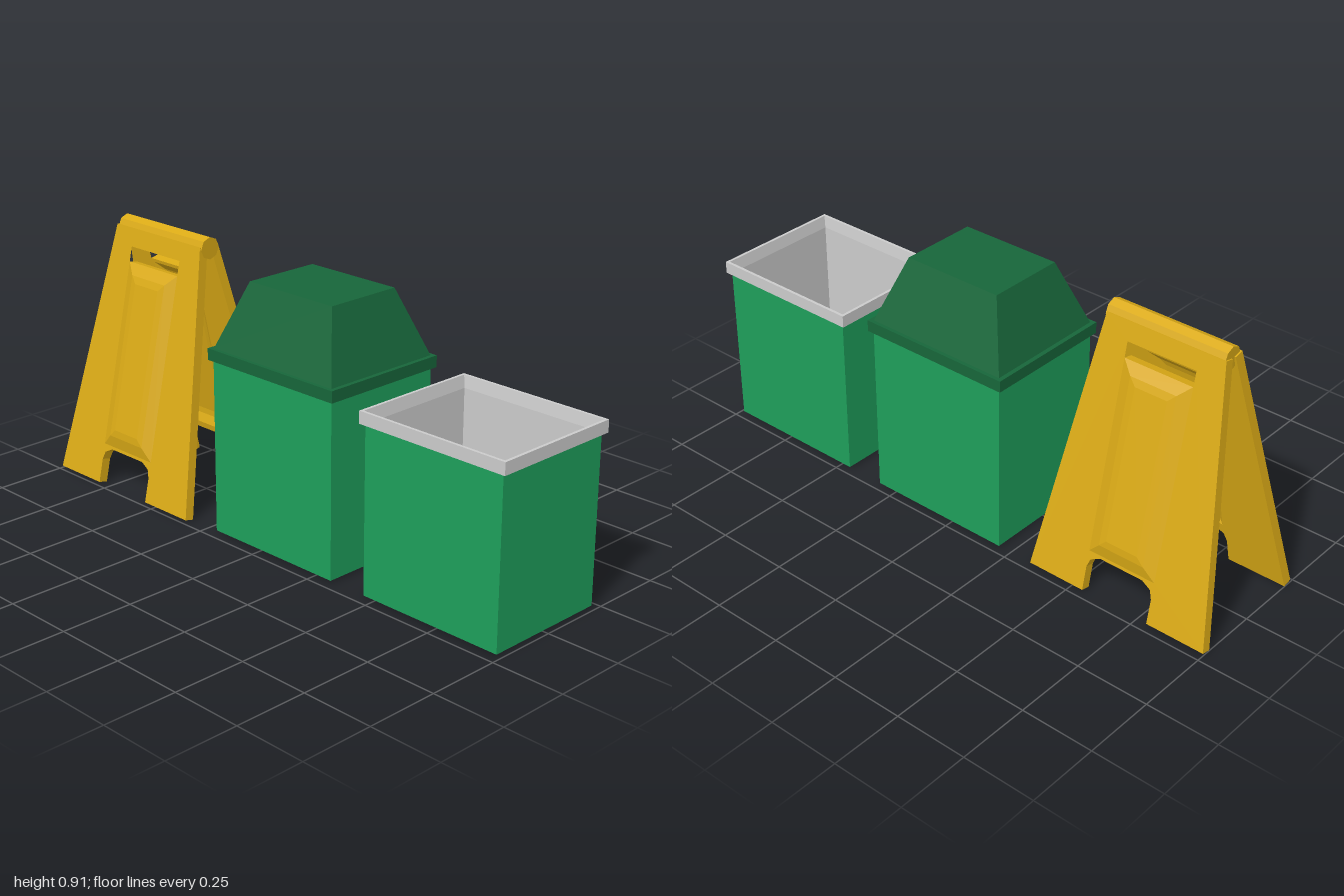
import * as THREE from 'three';

const material = (color) => new THREE.MeshStandardMaterial({ color, flatShading: true });

// Skin over rectangular rings [halfWidth, halfDepth, level], travelling along +z; ends optionally capped.
function loft(rings, capStart = true, capEnd = true) {
  const loops = rings.map(([w, d, z]) => [[w, -d, z], [w, d, z], [-w, d, z], [-w, -d, z]]);
  const pos = [];
  const quad = (a, b, c, d) => pos.push(...a, ...b, ...c, ...a, ...c, ...d);
  for (let k = 0; k + 1 < loops.length; k++) {
    for (let i = 0; i < 4; i++) {
      const j = (i + 1) % 4;
      quad(loops[k][i], loops[k][j], loops[k + 1][j], loops[k + 1][i]);
    }
  }
  if (capStart) quad(...[...loops[0]].reverse());
  if (capEnd) quad(...loops[loops.length - 1]);
  const geo = new THREE.BufferGeometry();
  geo.setAttribute('position', new THREE.Float32BufferAttribute(pos, 3));
  geo.computeVertexNormals();
  return geo;
}

function part(name, geo, mat, parent) {
  const mesh = new THREE.Mesh(geo, mat);
  mesh.name = name;
  parent.add(mesh);
  return mesh;
}

// Upright loft for the bins: levels become heights.
const upright = (...args) => loft(...args).rotateX(-Math.PI / 2);

function createFloorSign() {
  const sign = new THREE.Group();
  sign.name = 'foldingFloorSign';
  sign.position.set(-0.667, 0.872, 0.007);
  const yellow = material(0xdaaa16);
  const tilt = 0.217;
  const inner = 0.007, outer = 0.04;
  const slotHalf = 0.123;

  // Height above ground to distance along the leaning panel
  const along = (h) => (h - 0.8806) / Math.cos(tilt);

  // Tapered panel with a notch between its feet
  const foot = -0.893;
  const half = [[0.212, 0], [0.332, foot], [slotHalf, foot], [slotHalf, along(0.09)],
    [0.113, along(0.118)], [0.08, along(0.135)]];
  const outline = [...half, ...half.map(([x, y]) => [-x, y]).reverse()];
  const shape = new THREE.Shape(outline.map(([x, y]) => new THREE.Vector2(x, y)));

  // Opening for the handle slot and the pressed centre
  const top = along(0.82), slotBottom = along(0.77), bottom = along(0.145);
  shape.holes.push(new THREE.Path([[-slotHalf, bottom], [-slotHalf, top], [slotHalf, top], [slotHalf, bottom]]
    .map(([x, y]) => new THREE.Vector2(x, y))));
  const panelGeo = new THREE.ExtrudeGeometry(shape, { depth: outer - inner, bevelEnabled: false });
  panelGeo.translate(0, 0, inner);

  // Pressed centre: bulges outward, hollow on the inside
  const w = slotHalf, d = (slotBottom - bottom) / 2;
  const ring = (inset, z) => [w - inset, d - inset, z];
  const centreGeo = loft([ring(0.06, 0.028), ring(0.04, 0.024), ring(0.012, inner), ring(0, inner),
    ring(0, outer), ring(0.04, 0.055), ring(0.065, 0.059)]);
  centreGeo.translate(0, (slotBottom + bottom) / 2, 0);

  for (const front of [true, false]) {
    const leaf = new THREE.Group();
    leaf.name = front ? 'frontPanel' : 'backPanel';
    leaf.rotation.set(front ? -tilt : tilt, front ? 0 : Math.PI, 0);
    part('panelFrame', panelGeo, yellow, leaf);
    part('pressedCentre', centreGeo, yellow, leaf);
    sign.add(leaf);
  }

  // Eight-sided hinge barrel along the top
  const hinge = part('hinge', new THREE.CylinderGeometry(0.038, 0.038, 0.424, 8), yellow, sign);
  hinge.rotation.z = Math.PI / 2;
  hinge.position.x = 0.005;
  return sign;
}

function createBin(name, x, height, green) {
  const bin = new THREE.Group();
  bin.name = name;
  bin.position.set(x, 0, -0.004);
  part('binBody', upright([[0.2625, 0.22, 0.008], [0.2625, 0.22, height]], true, false), green, bin);
  return bin;
}

export function createModel() {
  const model = new THREE.Group();
  model.name = 'floorSignAndBins';
  const green = material(0x1e9f5b);

  model.add(createFloorSign());

  // Bin with a tapered lid
  const lidded = createBin('liddedBin', 0.057, 0.6, green);
  part('lid', upright([[0.26, 0.218, 0.598], [0.276, 0.232, 0.598], [0.276, 0.232, 0.637],
    [0.261, 0.219, 0.637], [0.18, 0.1365, 0.857]]), material(0x17663a), lidded);
  model.add(lidded);

  // Open bin with a collar and liner
  const open = createBin('openBin', 0.7225, 0.567, green);
  part('collarAndLiner', upright([[0.262, 0.219, 0.566], [0.277, 0.232, 0.566], [0.277, 0.232, 0.607],
    [0.267, 0.222, 0.607], [0.259, 0.216, 0.567], [0.259, 0.216, 0.02]], false, true),
  material(0xcccccc), open);
  model.add(open);

  return model;
}
